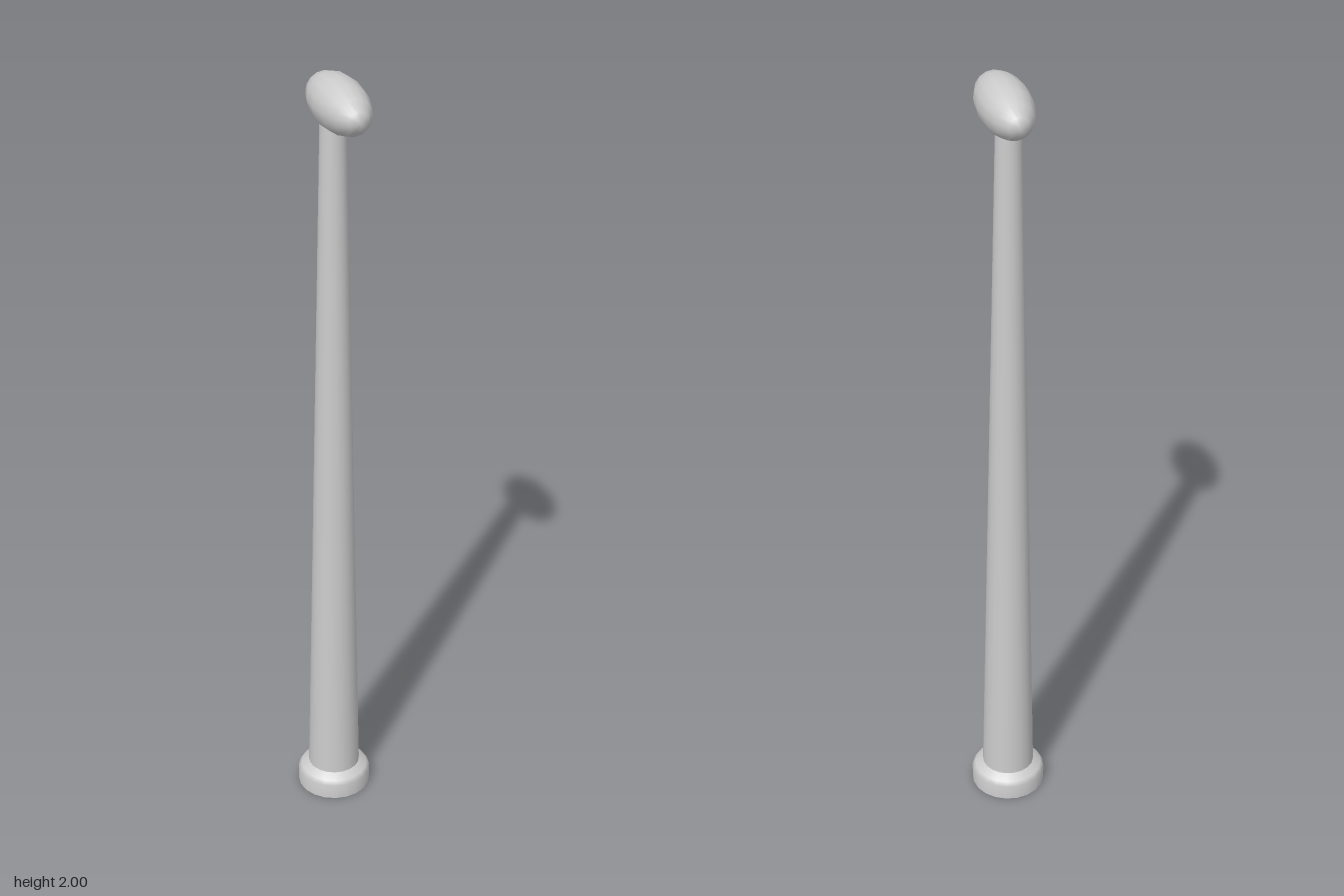
import * as THREE from 'three';

export function createModel() {
  const model = new THREE.Group();
  const grey = new THREE.MeshStandardMaterial({ color: 0xcccccc, side: THREE.DoubleSide });
  grey.name = 'light grey';

  const poleZ = -0.037;
  const addLathe = (name, profile) => {
    const points = profile.map(([r, y]) => new THREE.Vector2(r, y));
    const mesh = new THREE.Mesh(new THREE.LatheGeometry(points, 20), grey);
    mesh.name = name;
    mesh.position.z = poleZ;
    model.add(mesh);
  };

  // Hollow foot with a sloping shoulder, open underneath
  addLathe('baseCollar', [[0.095, 0], [0.095, 0.04], [0.087, 0.051], [0.067, 0.064]]);

  // Long tapering shaft that ends inside the head
  addLathe('pole', [[0.067, 0.064], [0.031, 1.91]]);

  // Elongated head with its poles pointing front and back
  const headGeometry = new THREE.SphereGeometry(1, 16, 8);
  headGeometry.rotateX(Math.PI / 2);
  const head = new THREE.Mesh(headGeometry, grey);
  head.name = 'head';
  head.scale.set(0.064, 0.064, 0.138);
  head.position.y = 1.936;
  model.add(head);

  return model;
}
